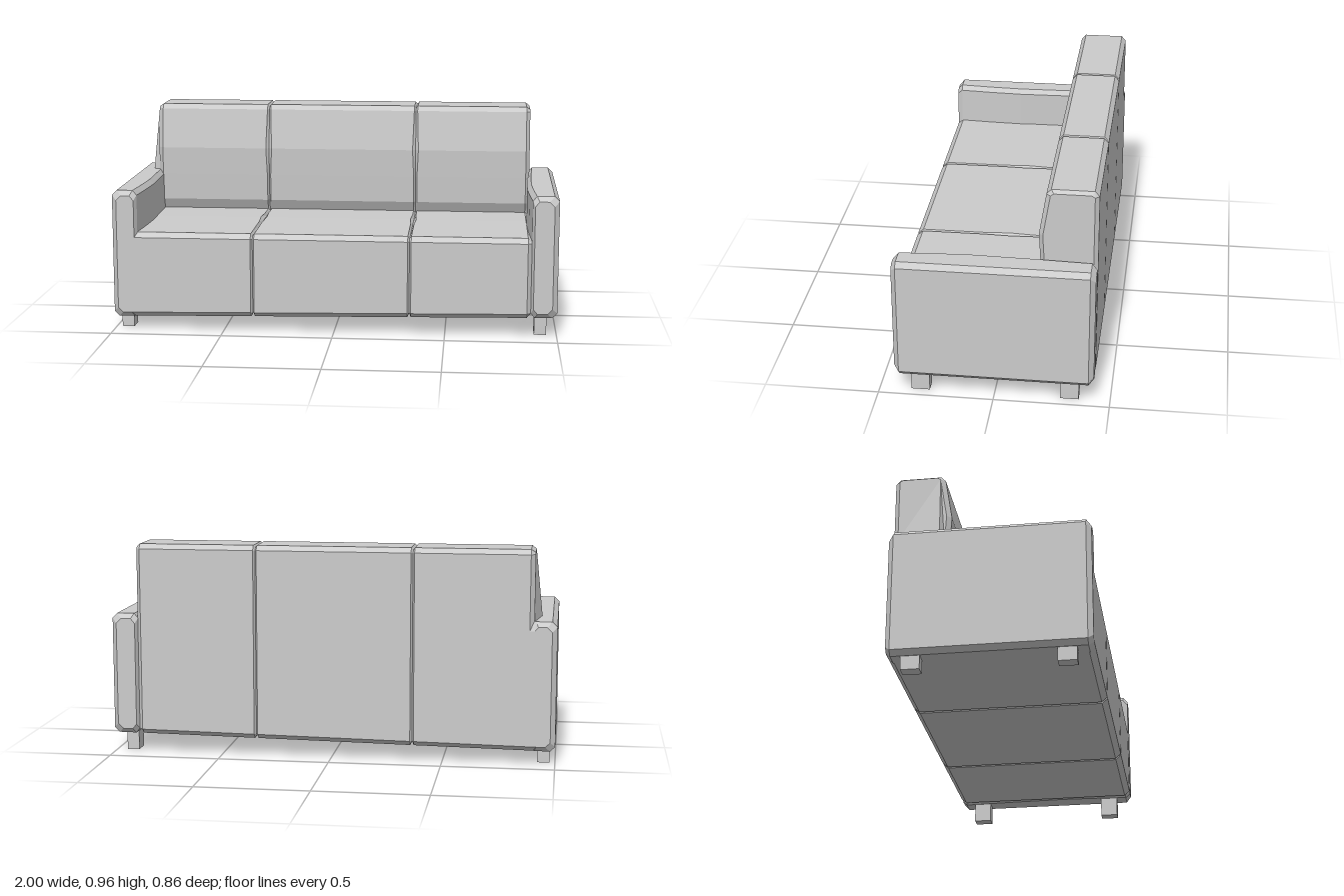
import * as THREE from 'three';

const material = new THREE.MeshStandardMaterial({ color: 0xcccccc, flatShading: true });

// Skin a list of closed rings (arrays of Vector3) and cap both ends.
// flat(v) gives the 2D coordinates used to triangulate the caps.
function loft(name, rings, flat) {
  const pos = [];
  const tri = (...pts) => pts.forEach((p) => pos.push(p.x, p.y, p.z));
  for (let i = 0; i < rings.length - 1; i++) {
    const r = rings[i], s = rings[i + 1];
    r.forEach((a, j) => {
      const k = (j + 1) % r.length;
      tri(a, s[j], s[k]);
      tri(a, s[k], r[k]);
    });
  }
  const along = rings.at(-1)[0].clone().sub(rings[0][0]);
  for (const [ring, sign] of [[rings[0], -1], [rings.at(-1), 1]]) {
    for (const face of THREE.ShapeUtils.triangulateShape(ring.map(flat), [])) {
      const [a, b, c] = face.map((n) => ring[n]);
      const normal = b.clone().sub(a).cross(c.clone().sub(a));
      if (normal.dot(along) * sign > 0) tri(a, b, c);
      else tri(a, c, b);
    }
  }
  const geometry = new THREE.BufferGeometry();
  geometry.setAttribute('position', new THREE.Float32BufferAttribute(pos, 3));
  geometry.computeVertexNormals();
  const mesh = new THREE.Mesh(geometry, material);
  mesh.name = name;
  return mesh;
}

// The underside rises slightly towards +x.
const lift = (x) => 0.015 * (x + 1);

// Side profile: z, y, inset direction (z, y), upper back flag, groove widening
const PROFILE = [
  [0.405, 0.06, -1, 1, 0, 0],
  [0.43, 0.082, -1, 0, 0, 0],
  [0.43, 0.428, -1, 0, 0, 0],
  [0.405, 0.45, -0.7, -0.7, 0, 0],
  [0.12, 0.451, 0, -1, 0, 0],
  [0.01, 0.452, 0, -1, 0, 1],
  [-0.1, 0.451, 0, -1, 0, 0],
  [-0.22, 0.45, -0.7, -0.7, 0, 0],
  [-0.195, 0.497, -1, 0, 0, 0],
  [-0.187, 0.62, -1, 0, 1, 0],
  [-0.18, 0.75, -1, 0, 1, 1],
  [-0.21, 0.935, -1, 0, 1, 0],
  [-0.23, 0.957, -0.7, -0.7, 1, 0],
  [-0.41, 0.957, 0.7, -0.7, 1, 0],
  [-0.43, 0.935, 1, 0, 1, 0],
  [-0.43, 0.645, 1, 0, 1, 0],
  [-0.43, 0.6, 1, 0, 0, 0],
  [-0.43, 0.082, 1, 0, 0, 0],
  [-0.405, 0.06, 1, 1, 0, 0],
];

// One cross-section of the body; the lower part may run on into the arm.
function bodyRing({ x, low = x, inset = 0, lowInset = inset, widen = 0 }) {
  return PROFILE.map(([z, y, iz, iy, upper, wide]) => {
    const px = (upper ? x : low) + widen * wide;
    const d = upper ? inset : lowInset;
    return new THREE.Vector3(px, y + iy * d + (y < 0.1 ? lift(px) : 0), z + iz * d);
  });
}

// Seat and back in one, with a stitched groove between the three cushions
function makeBody() {
  const sections = [
    { x: -0.9, low: -0.95, inset: 0.02, lowInset: 0 },
    { x: -0.88, low: -0.88 },
  ];
  for (const x of [-0.365, 0.34]) {
    sections.push({ x: x - 0.008, widen: -0.006 }, { x, inset: 0.014 }, { x: x + 0.008, widen: 0.006 });
  }
  sections.push({ x: 0.865 }, { x: 0.882, inset: 0.018 });
  return loft('seatAndBack', sections.map(bodyRing), (v) => new THREE.Vector2(v.z, v.y));
}

// Chamfered armrest whose inner face swells gently in the middle
function makeArm(name, side, inner) {
  const c = 0.022;
  const sections = [[-0.43, c, 0], [-0.408, 0, 0], [-0.15, 0, 0.011], [0.1, 0, 0.017],
    [0.25, 0, 0.011], [0.408, 0, 0], [0.43, c, 0]];
  const rings = sections.map(([z, d, swell]) => {
    const o = 1 - d, n = inner - swell + d * 0.5;
    const base = 0.06 + d, top = 0.64 - d;
    const ring = [[o - c, base], [o, base + c], [o, top - c], [o - c, top], [n + 0.018, top],
      [n, top - c], [n, base + c], [n + 0.018, base]]
      .map(([x, y]) => new THREE.Vector3(side * x, y + (y < 0.2 ? lift(side * x) : 0), z));
    return side > 0 ? ring.reverse() : ring;
  });
  return loft(name, rings, (v) => new THREE.Vector2(v.x, v.y));
}

export function createModel() {
  const sofa = new THREE.Group();
  sofa.name = 'sofa';
  sofa.add(makeBody(), makeArm('rightArm', -1, 0.888), makeArm('leftArm', 1, 0.882));

  // Four square feet, reaching a little into the underside
  for (const [xName, x] of [['Right', -0.948], ['Left', 0.927]]) {
    for (const [zName, z] of [['front', 0.322], ['back', -0.325]]) {
      const foot = new THREE.Mesh(new THREE.BoxGeometry(0.055, 0.1, 0.08), material);
      foot.position.set(x, 0.05, z);
      foot.name = `${zName}${xName}Foot`;
      sofa.add(foot);
    }
  }
  return sofa;
}
